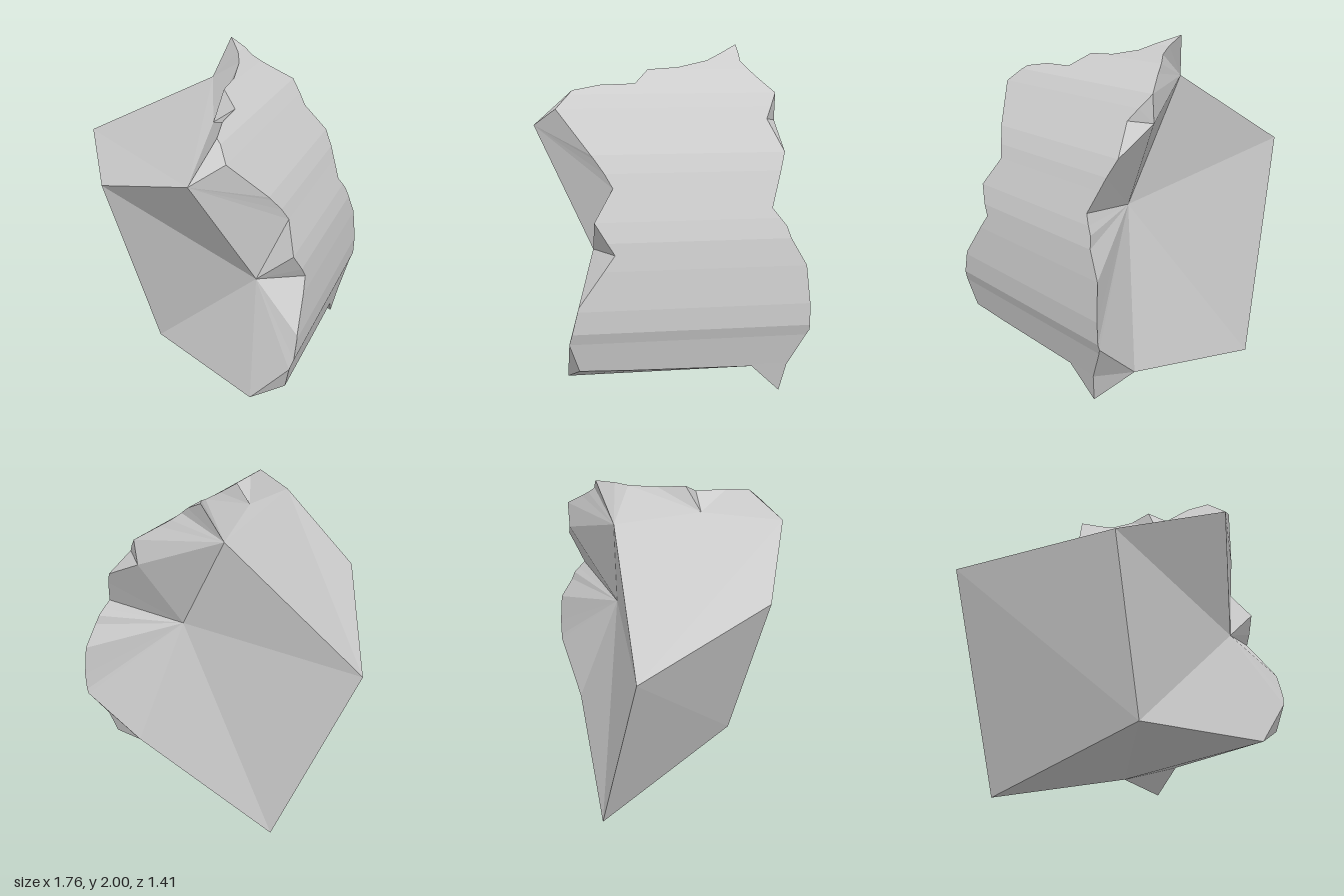
import * as THREE from 'three';

// Bent outer face: [y, x] from bottom to top
const profile = [[0.18, 0.8], [0.35, 0.83], [0.52, 0.862], [0.58, 0.88], [0.7, 0.88], [0.9, 0.857], [1.04, 0.833],
  [1.14, 0.8], [1.3, 0.73], [1.37, 0.7], [1.46, 0.65], [1.68, 0.48], [1.75, 0.42], [1.87, 0.25], [1.95, 0.16], [2, 0.07]];
// Jagged borders of that face: [y, z]
const frontEdge = [[0.18, -0.57], [0.34, -0.41], [0.35, 0.2], [0.36, 0.5], [0.52, 0.55], [0.72, 0.5], [0.98, 0.31],
  [1.14, 0.41], [1.3, 0.31], [1.37, 0.35], [1.44, 0.4], [1.68, 0.59], [1.77, 0.5], [1.795, 0.35], [1.8, 0.16],
  [1.87, 0.08], [1.88, -0.09], [1.915, -0.26], [2, -0.45]];
const backEdge = [[0.18, -0.57], [0.34, -0.6], [0.55, -0.705], [0.7, -0.7], [0.9, -0.68], [1.04, -0.6], [1.1, -0.58],
  [1.19, -0.51], [1.46, -0.6], [1.62, -0.53], [1.75, -0.6], [1.83, -0.52], [1.91, -0.45], [2, -0.45]];

// Corners of the broken faces
const A = [-0.88, 1.28, -0.37], B = [-0.31, 1.35, 0.47], C = [0.33, 1.58, 0.71], D = [0.6, 0.95, 0.41],
  E = [-0.04, 0.31, 0.315], F = [-0.45, 0, -0.56], G = [0.65, 0.255, 0.56], R = [0.55, 0.26, -0.61],
  P = [0.35, 1.1, -0.34], M = [0.41, 1.6, -0.6], J = [-0.01, 1.77, -0.37], K = [0.23, 1.71, 0.17];

// Linear lookup in a list of [y, value]
function at(list, y) {
  const i = Math.max(1, list.findIndex((p) => p[0] >= y));
  const [y0, v0] = list[i - 1], [y1, v1] = list[i];
  return v0 + (v1 - v0) * (y - y0) / (y1 - y0);
}
const edgePoint = (edge, y) => [at(profile, y), y, at(edge, y)];
const front = (y) => edgePoint(frontEdge, y);
const back = (y) => edgePoint(backEdge, y);

// Every height where the outer face or one of its borders bends
const rows = [...new Set([...profile, ...frontEdge, ...backEdge].map((p) => p[0]))].sort((a, b) => a - b);

// Triangles from one corner to a stretch of border
function fan(apex, edge, y0, y1) {
  const ys = rows.filter((y) => y >= y0 && y <= y1);
  return ys.slice(1).map((y, i) => {
    const low = edgePoint(edge, ys[i]), high = edgePoint(edge, y);
    return edge === frontEdge ? [apex, low, high] : [apex, high, low];
  });
}

function facets(name, triangles) {
  const geometry = new THREE.BufferGeometry();
  geometry.setAttribute('position', new THREE.Float32BufferAttribute(triangles.flat(2), 3));
  geometry.computeVertexNormals();
  const mesh = new THREE.Mesh(geometry, new THREE.MeshStandardMaterial({
    color: 0xcccccc, flatShading: true, side: THREE.DoubleSide }));
  mesh.name = name;
  return mesh;
}

export function createModel() {
  const group = new THREE.Group();
  group.name = 'rockFragment';

  // Bent outer face, one strip per pair of rows
  const outer = [];
  for (let i = 1; i < rows.length; i++) {
    const a = rows[i - 1], b = rows[i];
    if (i > 1) outer.push([front(a), back(a), back(b)]);
    if (i < rows.length - 1) outer.push([front(a), back(b), front(b)]);
  }
  group.add(facets('outerFace', outer));

  // Broken front
  group.add(facets('frontBreak', [
    [A, F, E], [A, E, B], [B, E, D], [B, D, C], [E, G, D], [C, D, front(1.3)], [D, G, front(0.52)],
    ...fan(C, frontEdge, 1.3, 1.77), ...fan(D, frontEdge, 0.52, 1.3), ...fan(G, frontEdge, 0.36, 0.52),
  ]));

  // Sloping top
  group.add(facets('topBreak', [
    [A, B, C], [A, C, J], [J, C, K], [J, K, front(1.915)], [K, C, front(1.77)],
    ...fan(J, frontEdge, 1.915, 2), ...fan(K, frontEdge, 1.77, 1.915),
  ]));

  // Underside
  group.add(facets('underside', [
    [E, F, R], [E, R, G], [G, R, front(0.34)],
    ...fan(G, frontEdge, 0.34, 0.36), ...fan(R, frontEdge, 0.18, 0.34),
  ]));

  // Broken back with its hollow
  group.add(facets('backBreak', [
    [A, J, P], [A, P, F], [F, P, R], [P, J, M], [P, M, back(1.46)], [R, P, back(0.55)], [M, J, back(1.75)],
    ...fan(R, backEdge, 0.18, 0.55), ...fan(P, backEdge, 0.55, 1.46),
    ...fan(M, backEdge, 1.46, 1.75), ...fan(J, backEdge, 1.75, 2),
  ]));

  return group;
}
